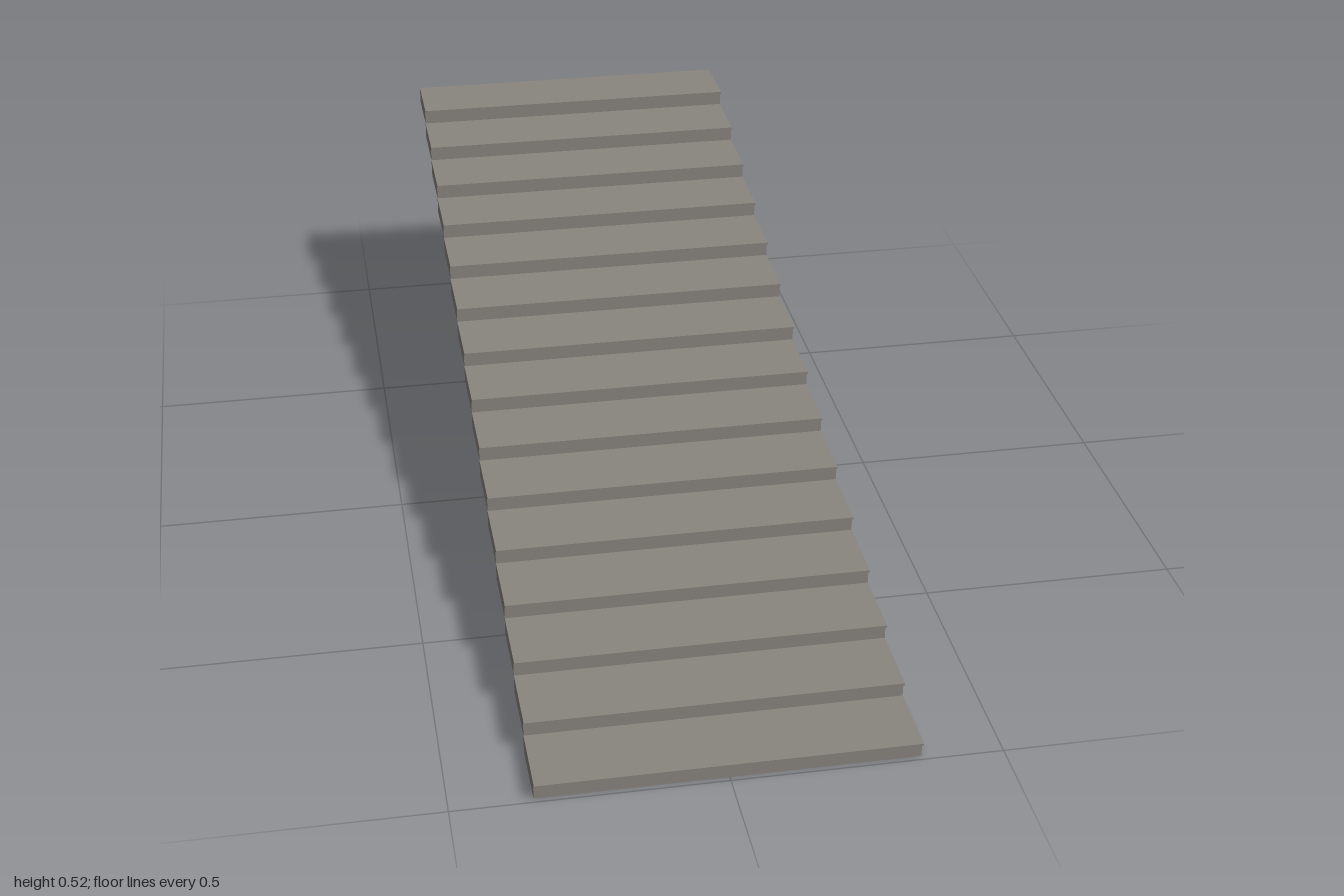
import * as THREE from 'three';

const STEPS = 15;
const WIDTH = 0.7;
const RISE = 0.035;
const NOSING = 0.01; // tread overhang in front of the riser
const SLAB = 0.005; // tread thickness
const PITCH = (2 - NOSING) / STEPS;

export function createModel() {
  const group = new THREE.Group();
  group.name = 'staircase';
  const stone = new THREE.MeshStandardMaterial({ color: 0x8a857f, side: THREE.DoubleSide });
  stone.name = 'warm grey stone';

  const treadGeo = new THREE.BoxGeometry(WIDTH, SLAB, PITCH + NOSING);
  const riserGeo = new THREE.PlaneGeometry(WIDTH, RISE - SLAB);
  const cheekGeo = new THREE.PlaneGeometry(PITCH, RISE - SLAB).rotateY(Math.PI / 2);

  const add = (parent, name, geo, x, y, z) => {
    const mesh = new THREE.Mesh(geo, stone);
    mesh.name = name;
    mesh.position.set(x, y, z);
    parent.add(mesh);
  };

  for (let i = 0; i < STEPS; i++) {
    const step = new THREE.Group();
    step.name = `step${i + 1}`;
    step.position.set(0, i * RISE, 1 - NOSING - i * PITCH); // origin at the riser foot
    const midY = (RISE - SLAB) / 2;

    // Overhanging tread, thin riser, and side cheeks; open below and behind
    add(step, 'tread', treadGeo, 0, RISE - SLAB / 2, (NOSING - PITCH) / 2);
    add(step, 'riser', riserGeo, 0, midY, 0);
    for (const side of [-1, 1]) {
      add(step, side > 0 ? 'leftCheek' : 'rightCheek', cheekGeo, side * WIDTH / 2, midY, -PITCH / 2);
    }
    group.add(step);
  }
  return group;
}
